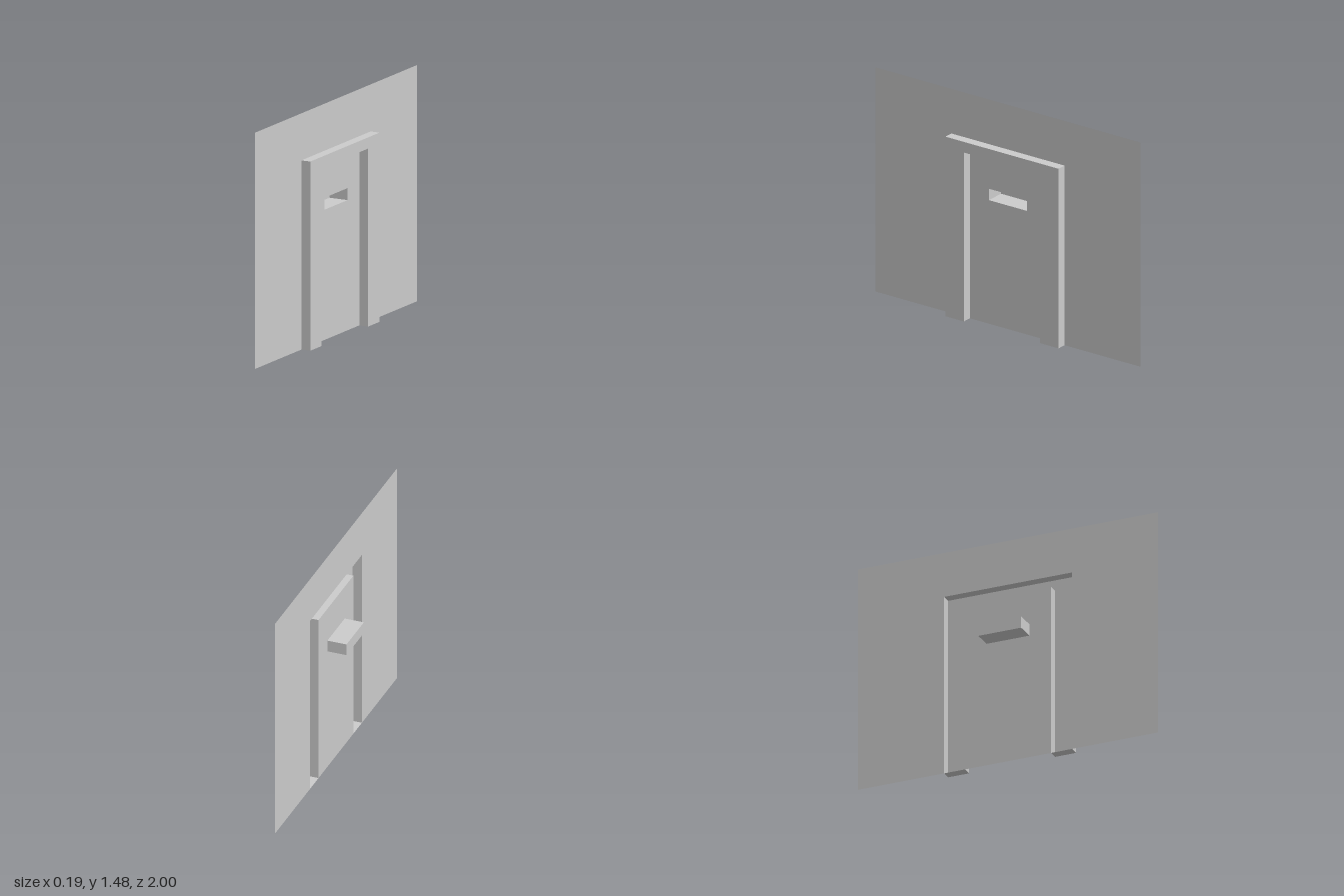
import * as THREE from 'three';

const material = new THREE.MeshStandardMaterial({ color: 0xcccccc, side: THREE.DoubleSide });

// Depths of the three layers, along the wall's outward direction
const BACK = -0.094, WALL = 0.031, FRONT = 0.093;

const toVectors = (points) => points.map(([x, y]) => new THREE.Vector2(x, y));

// Rectangle outline, counter-clockwise
const rect = (x0, x1, y0, y1) => [[x0, y0], [x1, y0], [x1, y1], [x0, y1]];

// Flat sheet at a given depth, with optional holes
function sheet(name, outline, depth, holes = []) {
  const shape = new THREE.Shape(toVectors(outline));
  holes.forEach((hole) => shape.holes.push(new THREE.Path(toVectors(hole))));
  const mesh = new THREE.Mesh(new THREE.ShapeGeometry(shape), material);
  mesh.position.z = depth;
  mesh.name = name;
  return mesh;
}

// Band of flat walls following a closed outline between two depths
function band(name, outline, z0, z1) {
  const positions = [];
  outline.forEach(([ax, ay], i) => {
    const [bx, by] = outline[(i + 1) % outline.length];
    positions.push(ax, ay, z0, bx, by, z0, bx, by, z1);
    positions.push(ax, ay, z0, bx, by, z1, ax, ay, z1);
  });
  const geometry = new THREE.BufferGeometry();
  geometry.setAttribute('position', new THREE.Float32BufferAttribute(positions, 3));
  geometry.computeVertexNormals();
  const mesh = new THREE.Mesh(geometry, material);
  mesh.name = name;
  return mesh;
}

// Arch-shaped outline: legs standing on the ground around an opening
const arch = (outer, top, inner, innerTop) => [
  [-outer, 0], [-inner, 0], [-inner, innerTop], [inner, innerTop],
  [inner, 0], [outer, 0], [outer, top], [-outer, top],
];

export function createModel() {
  const model = new THREE.Group();
  model.name = 'doorwayWall';

  // Drawn facing +z, then turned to face +x
  const facade = new THREE.Group();
  facade.name = 'facade';
  facade.rotation.y = Math.PI / 2;
  model.add(facade);

  // Thin wall with the doorway cut out
  facade.add(sheet('wall', arch(1, 1.477, 0.427, 1.183), WALL));

  // Raised door frame, hollow behind
  const frameOutline = arch(0.427, 1.183, 0.287, 1.113);
  const frame = new THREE.Group();
  frame.name = 'doorFrame';
  frame.add(
    sheet('frameFace', frameOutline, FRONT),
    band('frameSides', frameOutline, WALL, FRONT),
  );
  facade.add(frame);

  // Door panel, flush with the wall, with a slot opening
  const slot = rect(-0.144, 0.142, 0.814, 0.889);
  facade.add(sheet('doorPanel', rect(-0.287, 0.287, 0, 1.113), WALL, [slot]));

  // Recess behind the slot, open to the front
  const recess = new THREE.Group();
  recess.name = 'slotRecess';
  recess.add(
    sheet('recessBack', slot, BACK),
    band('recessSides', [...slot].reverse(), BACK, WALL),
  );
  facade.add(recess);

  return model;
}
